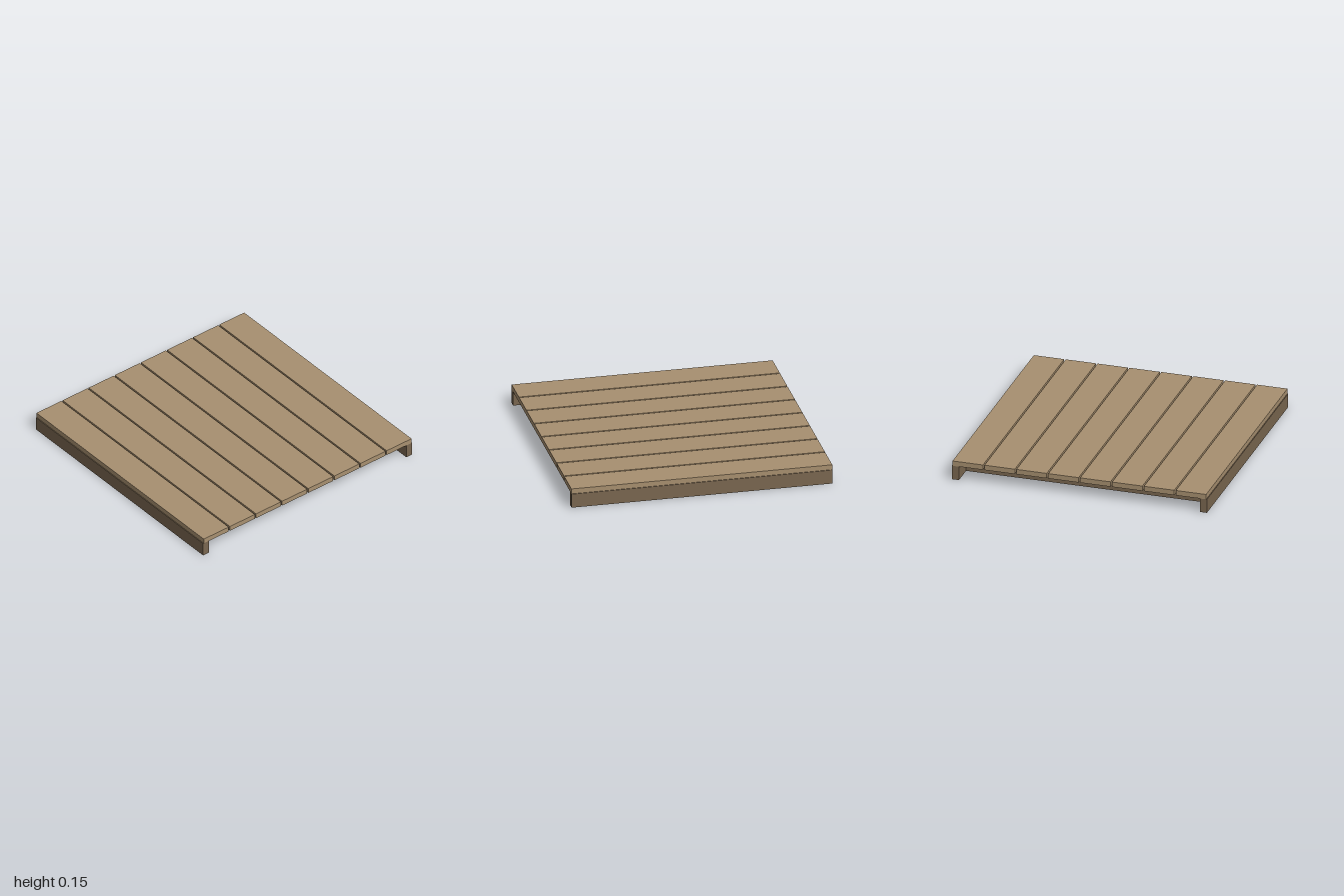
import * as THREE from 'three';

export function createModel() {
  const model = new THREE.Group();
  model.name = 'deckPlatform';
  const plankMaterial = new THREE.MeshStandardMaterial({ color: 0xa89070 });
  const frameMaterial = new THREE.MeshStandardMaterial({ color: 0x7a6750 });

  const frameHeight = 0.11, plankHeight = 0.04;
  const beamWidth = 0.056, joistWidth = 0.05;

  // Box standing on height y
  function board(name, material, w, h, d, x, y, z) {
    const mesh = new THREE.Mesh(new THREE.BoxGeometry(w, h, d), material);
    mesh.name = name;
    mesh.position.set(x, y + h / 2, z);
    model.add(mesh);
  }

  // Side beams running front to back
  for (const [name, side] of [['leftBeam', 1], ['rightBeam', -1]]) {
    board(name, frameMaterial, beamWidth, frameHeight, 2, side * (1 - beamWidth / 2), 0, 0);
  }

  // Five cross joists between the beams
  for (let i = 0; i < 5; i++) {
    board(`joist${i + 1}`, frameMaterial, 2 - 2 * beamWidth, frameHeight, joistWidth, 0, 0, -0.8 + i * 0.4);
  }

  // Eight deck planks with narrow gaps
  const count = 8, pitch = 2 / count, gap = 0.012;
  for (let i = 0; i < count; i++) {
    board(`plank${i + 1}`, plankMaterial, pitch - gap, plankHeight, 2, -1 + (i + 0.5) * pitch, frameHeight, 0);
  }

  return model;
}
